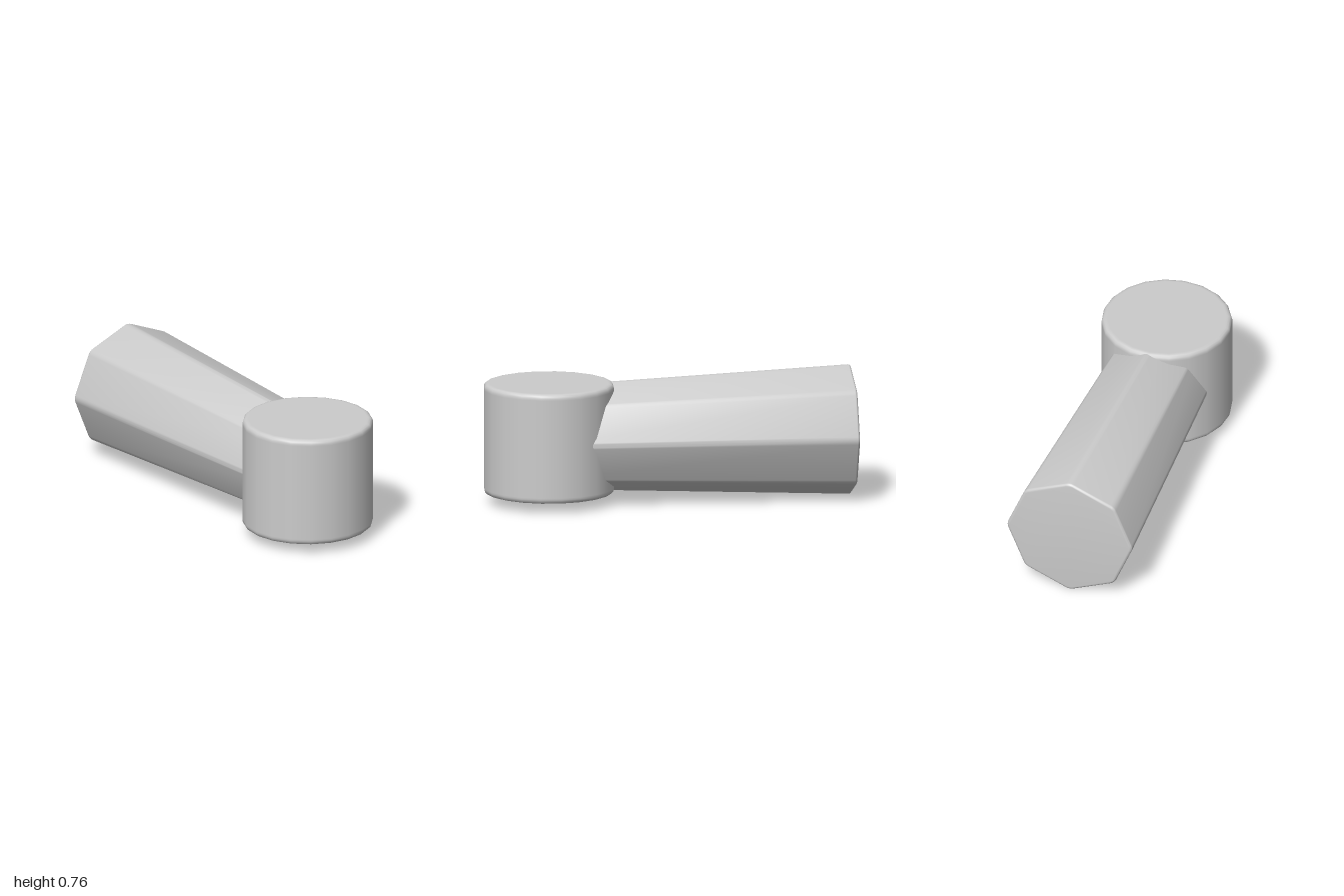
import * as THREE from 'three';
import { toCreasedNormals } from 'three/addons/utils/BufferGeometryUtils.js';

const material = new THREE.MeshStandardMaterial({ color: 0xcccccc });

// Upright round hub with softly bevelled rims
function createHub() {
  const radius = 0.38, bottom = 0.065, top = 0.712, bevel = 0.025;
  const profile = [new THREE.Vector2(0, bottom), new THREE.Vector2(radius - bevel - 0.01, bottom)];
  const rim = (y, from) => {
    for (let i = 0; i <= 3; i++) {
      const a = from + (i / 3) * Math.PI / 2;
      profile.push(new THREE.Vector2(radius - bevel + bevel * Math.cos(a), y + bevel * Math.sin(a)));
    }
  };
  rim(bottom + bevel, -Math.PI / 2);
  profile.push(new THREE.Vector2(radius, bottom + bevel + 0.01), new THREE.Vector2(radius, top - bevel - 0.01));
  rim(top - bevel, 0);
  profile.push(new THREE.Vector2(radius - bevel - 0.01, top), new THREE.Vector2(0, top));
  const hub = new THREE.Mesh(new THREE.LatheGeometry(profile, 20), material);
  hub.name = 'hub';
  hub.position.set(0.62, 0, 0.51);
  return hub;
}

// Octagonal arm, softened along its ridges, narrowing towards the hub
function createArm() {
  const radius = 0.387, corner = 0.06, bevel = 0.015, length = 1.74, taper = 0.115;
  const step = Math.PI / 4;
  const reach = radius - corner / Math.cos(step / 2);
  const points = [];
  for (let i = 0; i < 8; i++) {
    for (let j = 0; j <= 4; j++) {
      const a = i * step + (j / 4 - 0.5) * step;
      points.push(new THREE.Vector2(
        reach * Math.cos(i * step) + corner * Math.cos(a),
        reach * Math.sin(i * step) + corner * Math.sin(a)));
    }
  }
  const geometry = new THREE.ExtrudeGeometry(new THREE.Shape(points), {
    depth: length - 2 * bevel, bevelThickness: bevel, bevelSize: bevel,
    bevelOffset: -bevel, bevelSegments: 3, curveSegments: 1,
  });
  geometry.translate(0, 0, bevel);
  const p = geometry.attributes.position;
  for (let i = 0; i < p.count; i++) {
    const s = 1 - taper * p.getZ(i);
    p.setXY(i, p.getX(i) * s, p.getY(i) * s);
  }
  const arm = new THREE.Mesh(toCreasedNormals(geometry, 0.6), material);
  arm.name = 'arm';
  arm.position.set(-0.765, 0.388, -0.595);
  arm.rotation.y = Math.atan2(0.781, 0.625);
  return arm;
}

export function createModel() {
  const model = new THREE.Group();
  model.name = 'hubWithArm';
  model.add(createHub(), createArm());
  return model;
}
